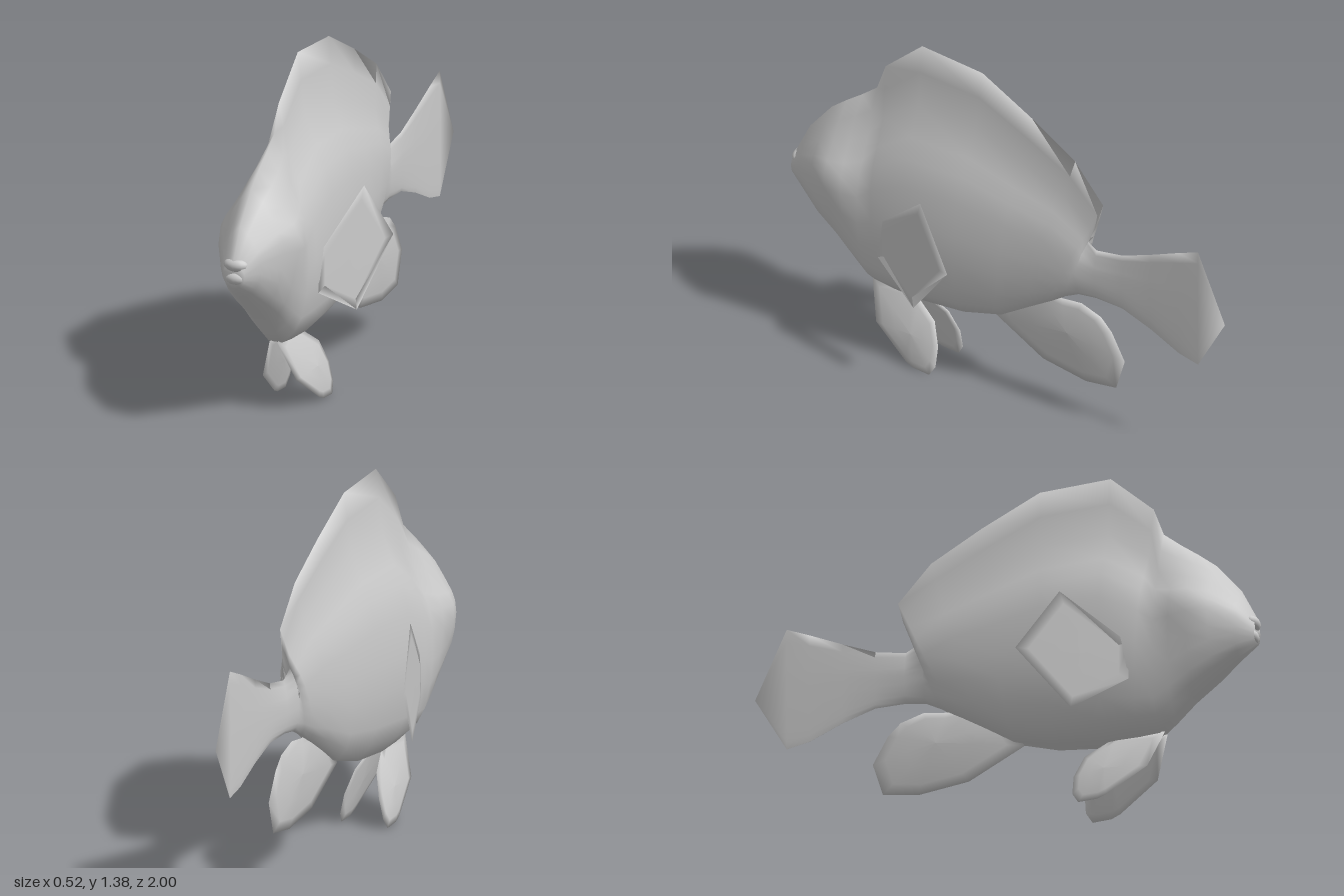
import * as THREE from 'three';

const material = new THREE.MeshStandardMaterial({ color: 0xcccccc });
const thin = new THREE.MeshStandardMaterial({ color: 0xcccccc, side: THREE.DoubleSide });

// Body stations from nose to tail: top z, top y, bottom z, bottom y, half width, dorsal share
const STATIONS = [
  [0.99, 0.72, 0.985, 0.61, 0.045, 0],
  [0.93, 0.84, 0.92, 0.56, 0.085, 0],
  [0.83, 0.96, 0.83, 0.48, 0.13, 0],
  [0.76, 1.015, 0.74, 0.41, 0.143, 0],
  [0.69, 1.065, 0.67, 0.34, 0.145, 0.1],
  [0.62, 1.12, 0.61, 0.285, 0.142, 0.4],
  [0.58, 1.23, 0.53, 0.275, 0.143, 0.9],
  [0.41, 1.38, 0.4, 0.27, 0.15, 1],
  [0.13, 1.36, 0.2, 0.285, 0.127, 1],
  [-0.1, 1.24, 0.03, 0.33, 0.1, 1],
  [-0.3, 1.12, -0.1, 0.41, 0.075, 1],
  [-0.43, 0.97, -0.2, 0.47, 0.055, 0.9],
  [-0.41, 0.89, -0.26, 0.51, 0.04, 0.6],
  [-0.33, 0.8, -0.32, 0.54, 0.03, 0.2],
  [-0.4, 0.76, -0.4, 0.55, 0.018, 0],
  [-0.52, 0.78, -0.52, 0.545, 0.007, 0],
  [-0.65, 0.83, -0.65, 0.5, 0.005, 0],
  [-0.78, 0.885, -0.78, 0.44, 0.004, 0],
  [-0.87, 0.92, -0.87, 0.42, 0.003, 0],
];
// Half section from belly to crest: height share, round head width, finned back width
const SECTION = [
  [0, 0.2, 0.2], [0.06, 0.5, 0.62], [0.13, 0.72, 0.83], [0.25, 0.9, 0.97],
  [0.36, 0.98, 1], [0.5, 1, 0.94], [0.6, 0.95, 0.76], [0.67, 0.86, 0.52],
  [0.78, 0.64, 0.19], [0.9, 0.36, 0.09], [1, 0, 0],
];

function buildGeometry(positions, indices) {
  const geometry = new THREE.BufferGeometry();
  geometry.setAttribute('position', new THREE.Float32BufferAttribute(positions, 3));
  geometry.setIndex(indices);
  geometry.computeVertexNormals();
  return geometry;
}

// Joins consecutive closed rings of n points with quads
function joinRings(indices, rings, n) {
  for (let i = 0; i < rings - 1; i++) {
    for (let j = 0; j < n; j++) {
      const a = i * n + j, b = i * n + (j + 1) % n;
      indices.push(a, a + n, b, b, a + n, b + n);
    }
  }
}

function bodyGeometry() {
  const positions = [], indices = [];
  const n = SECTION.length * 2 - 1;
  for (const [zt, yt, zb, yb, width, dorsal] of STATIONS) {
    const half = SECTION.map(([t, round, finned]) => {
      const y = THREE.MathUtils.lerp(yb, yt, t), z = THREE.MathUtils.lerp(zb, zt, t);
      // Eye sockets swell outwards
      const eye = 0.028 * Math.exp(-(((z - 0.74) / 0.08) ** 2) - ((y - 0.755) / 0.09) ** 2);
      return [width * THREE.MathUtils.lerp(round, finned, dorsal) + eye, y, z];
    });
    half.forEach((p) => positions.push(...p));
    half.slice(0, -1).reverse().forEach(([x, y, z]) => positions.push(-x, y, z));
  }
  joinRings(indices, STATIONS.length, n);
  // Close the mouth and the tail tip
  const nose = STATIONS.length * n, tip = nose + 1, last = nose - n;
  positions.push(0, 0.665, 0.98, 0, 0.64, -0.995);
  for (let j = 0; j < n; j++) {
    const k = (j + 1) % n;
    indices.push(nose, j, k, tip, last + k, last + j);
  }
  return buildGeometry(positions, indices);
}

// Lens-shaped fin from a [z, y] outline; xAt gives its middle surface
function finGeometry(outline, thickness, xAt) {
  const positions = [], indices = [], n = outline.length;
  const cz = outline.reduce((s, p) => s + p[0], 0) / n;
  const cy = outline.reduce((s, p) => s + p[1], 0) / n;
  const rings = [[0, 1], [0.45, 1], [0.8, 1], [1, 1], [0.8, -1], [0.45, -1], [0, -1]];
  for (const [s, side] of rings) {
    for (const [pz, py] of outline) {
      const z = cz + (pz - cz) * s, y = cy + (py - cy) * s;
      positions.push(xAt(z, y) + side * thickness * (1 - s * s), y, z);
    }
  }
  joinRings(indices, rings.length, n);
  return buildGeometry(positions, indices);
}

export function createModel() {
  const model = new THREE.Group();
  const add = (name, geometry, mat = material) => {
    const mesh = new THREE.Mesh(geometry, mat);
    mesh.name = name;
    model.add(mesh);
    return mesh;
  };

  add('bodyWithDorsalFinAndTail', bodyGeometry());

  // Lips
  for (const [name, y, z] of [['upperLip', 0.7, 0.967], ['lowerLip', 0.645, 0.962]]) {
    const lip = add(name, new THREE.SphereGeometry(1, 16, 10));
    lip.scale.set(0.05, 0.028, 0.033);
    lip.position.set(0, y, z);
  }

  // Anal fin
  add('analFin', finGeometry([
    [0.07, 0.31], [-0.15, 0.19], [-0.35, 0.16], [-0.49, 0.18], [-0.53, 0.31], [-0.47, 0.42],
    [-0.42, 0.47], [-0.33, 0.5], [-0.24, 0.49], [-0.12, 0.5], [0, 0.42],
  ], 0.022, () => 0), thin);

  // Paired fins
  const pelvicOutline = [
    [0.63, 0.29], [0.575, 0.13], [0.42, 0.02], [0.385, 0.005], [0.31, 0], [0.285, 0.04],
    [0.285, 0.12], [0.32, 0.21], [0.4, 0.265], [0.45, 0.3],
  ];
  const pectoralOutline = [[0.27, 0.835], [0.11, 0.6], [0.31, 0.35], [0.52, 0.47], [0.52, 0.62]];
  for (const [label, side] of [['left', 1], ['right', -1]]) {
    add(label + 'PelvicFin', finGeometry(pelvicOutline, 0.014,
      (z, y) => side * (0.097 - 0.15 * y - 0.45 * y * y)), thin);
    add(label + 'PectoralFin', finGeometry(pectoralOutline, 0.002,
      (z) => side * (0.26 - 0.3 * (z - 0.11))), thin);
  }
  return model;
}
